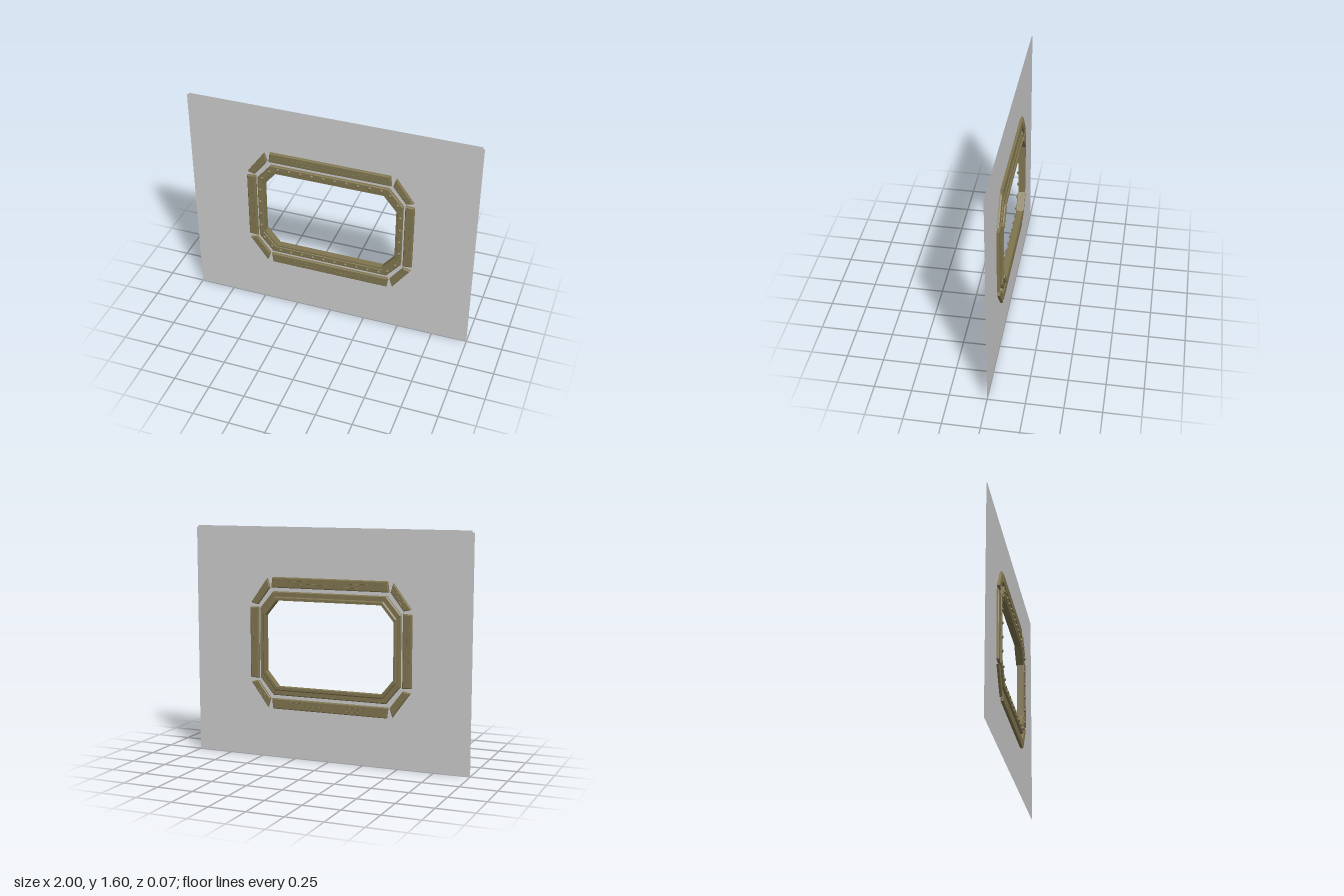
import * as THREE from 'three';

const CX = -0.005, CY = 0.8;
const wood = new THREE.MeshStandardMaterial({ color: 0x80754f });
const wallMat = new THREE.MeshStandardMaterial({ color: 0xcccccc, side: THREE.DoubleSide });

// Octagon running clockwise; t = 0 is the opening, t = 1 the outer edge of the ring
function octagon(t) {
  const mix = (a, b) => a + (b - a) * t;
  const w = mix(0.467, 0.512), h = mix(0.3, 0.36);
  const u = mix(0.38, 0.412), v = mix(0.195, 0.24);
  return [[-u, h], [u, h], [w, v], [w, -v], [u, -h], [-u, -h], [-w, -v], [-w, v]]
    .map(([x, y]) => new THREE.Vector2(CX + x, CY + y));
}

// One length of moulding: profile (t, z) swept between two mitred corners
function mouldingPiece(i, thickness) {
  const profile = new THREE.Shape([
    [0, -0.029], [0.3, -0.029], [0.42, -0.024], [0.42, -0.018], [0.9, -0.018], [1, -0.013],
    [1, 0.015], [0.93, 0.02], [0.28, 0.02], [0.22, 0.016], [0, 0.016],
  ].map(([t, z]) => new THREE.Vector2(t, z * thickness)));
  const geo = new THREE.ExtrudeGeometry(profile, { depth: 1, steps: 1, bevelEnabled: false });
  const pos = geo.attributes.position;
  for (let k = 0; k < pos.count; k++) {
    const ring = octagon(pos.getX(k));
    const p = ring[i].clone().lerp(ring[(i + 1) % 8], pos.getZ(k));
    pos.setXYZ(k, p.x, p.y, pos.getY(k));
  }
  geo.computeVertexNormals();
  return geo;
}

// Plank with rounded edges; the outline is its finished size
function plank(name, corners) {
  const b = 0.008;
  const shape = new THREE.Shape(corners.map(([x, y]) => new THREE.Vector2(x, y)));
  const geo = new THREE.ExtrudeGeometry(shape, {
    depth: 0.02, bevelThickness: b, bevelSize: b, bevelOffset: -b, bevelSegments: 3,
  });
  geo.translate(0, 0, -0.01);
  const mesh = new THREE.Mesh(geo, wood);
  mesh.name = name;
  return mesh;
}

// Slim raised grain slivers on both faces
function grain(x, y, length, angle) {
  const group = new THREE.Group();
  group.name = 'woodGrain';
  for (const [along, across, size] of [[-0.25, 0.011, 0.3], [0.12, -0.004, 0.4], [0.3, 0.014, 0.2], [-0.2, -0.015, 0.25]]) {
    for (const side of [-1, 1]) {
      const sliver = new THREE.Mesh(new THREE.OctahedronGeometry(1), wood);
      sliver.name = 'grainSliver';
      sliver.scale.set(length * size / 2, 0.002, 0.0015);
      sliver.position.set(along * length, across, side * 0.018);
      group.add(sliver);
    }
  }
  group.position.set(x, y, 0);
  group.rotation.z = angle;
  return group;
}

export function createModel() {
  const model = new THREE.Group();
  model.name = 'wallWithWindowFrame';

  // Thin wall with nicked top corners and the opening cut through
  const outline = new THREE.Shape([
    [-1, 0], [1, 0], [1, 1.585], [0.99, 1.59], [0.99, 1.6], [-0.985, 1.6], [-0.985, 1.59], [-1, 1.585],
  ].map(([x, y]) => new THREE.Vector2(x, y)));
  outline.holes.push(new THREE.Path(octagon(0.4)));
  const wall = new THREE.Mesh(new THREE.ShapeGeometry(outline), wallMat);
  wall.name = 'wall';
  model.add(wall);

  // Inner ring: eight mitred pieces, the diagonal ones slightly thicker
  const ring = new THREE.Group();
  ring.name = 'innerRing';
  for (let i = 0; i < 8; i++) {
    const diagonal = i % 2 === 1;
    const piece = new THREE.Mesh(mouldingPiece(i, diagonal ? 1.15 : 1), wood);
    piece.name = diagonal ? 'cornerMoulding' : 'straightMoulding';
    ring.add(piece);
  }
  model.add(ring);

  // Rivets along the front of the ring
  const rivets = new THREE.Group();
  rivets.name = 'rivets';
  const rivetGeo = new THREE.SphereGeometry(0.012, 12, 6, 0, Math.PI * 2, 0, Math.PI / 2);
  rivetGeo.rotateX(Math.PI / 2);
  const line = octagon(0.64);
  line.forEach((a, i) => {
    const b = line[(i + 1) % 8];
    const diagonal = i % 2 === 1;
    const count = diagonal ? 2 : (i % 4 === 0 ? 10 : 4);
    const margin = diagonal ? 0.22 : (i % 4 === 0 ? 0.05 : 0.17);
    for (let k = 0; k < count; k++) {
      const p = a.clone().lerp(b, margin + (1 - 2 * margin) * k / (count - 1));
      const rivet = new THREE.Mesh(rivetGeo, wood);
      rivet.name = 'rivet';
      rivet.position.set(p.x, p.y, diagonal ? 0.022 : 0.019);
      rivets.add(rivet);
    }
  });
  model.add(rivets);

  // Outer planks, mirrored about the middle of the window
  const planks = new THREE.Group();
  planks.name = 'outerPlanks';
  for (const s of [-1, 1]) {
    const place = (pts, sx, sy) => pts.map(([x, y]) => [CX + sx * x, CY + sy * y]);
    planks.add(plank(s > 0 ? 'topPlank' : 'bottomPlank',
      place([[-0.418, 0.458], [-0.427, 0.385], [0.427, 0.385], [0.418, 0.458]], 1, s)));
    planks.add(grain(CX, CY + s * 0.42, 0.8, 0));
    planks.add(plank(s > 0 ? 'leftPlank' : 'rightPlank',
      place([[0.525, -0.25], [0.588, -0.245], [0.588, 0.245], [0.525, 0.25]], s, 1)));
    planks.add(grain(CX + s * 0.557, CY, 0.45, Math.PI / 2));
    for (const sy of [-1, 1]) {
      planks.add(plank('cornerPlank',
        place([[0.53, 0.265], [0.582, 0.278], [0.458, 0.448], [0.438, 0.385]], s, sy)));
      planks.add(grain(CX + s * 0.505, CY + sy * 0.346, 0.12, -s * sy * 0.94));
    }
  }
  model.add(planks);
  return model;
}
